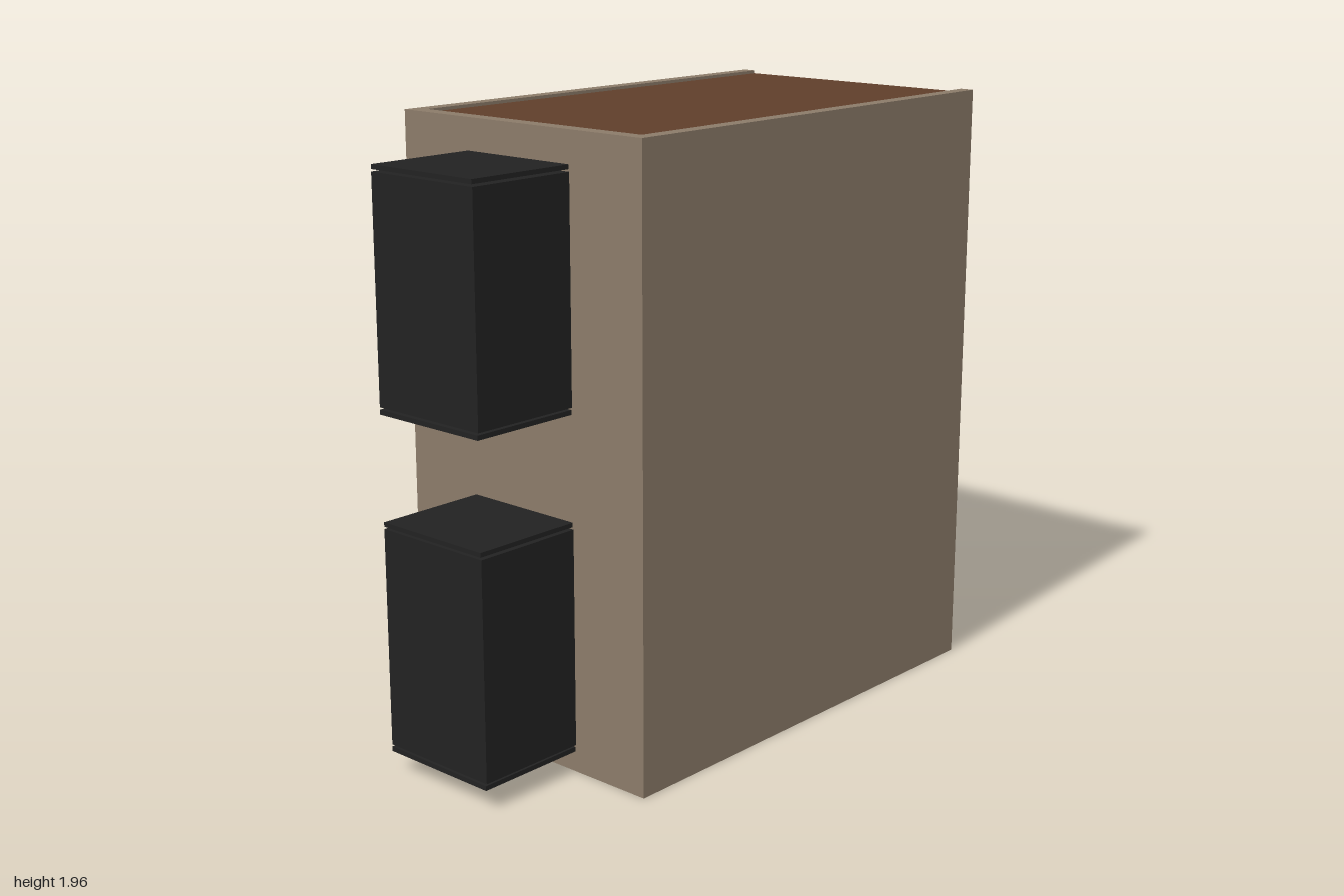
import * as THREE from 'three';

const mat = (name, color) => Object.assign(new THREE.MeshStandardMaterial({ color }), { name });

export function createModel() {
  const plaster = mat('plaster', 0x8b7b69);
  const wood = mat('wood', 0x5f3e2a);
  const railWood = mat('railWood', 0x70442a);
  const black = mat('black', 0x222222);
  const iron = mat('iron', 0x2f3538);
  const pale = mat('paleGlass', 0x9a9a92);

  const root = new THREE.Group();
  root.name = 'stairwell';
  const group = (name) => {
    const g = new THREE.Group();
    g.name = name;
    root.add(g);
    return g;
  };
  // Box given by its minimum and maximum on each axis
  const box = (name, m, x0, x1, y0, y1, z0, z1, parent = root) => {
    const mesh = new THREE.Mesh(new THREE.BoxGeometry(x1 - x0, y1 - y0, z1 - z0), m);
    mesh.position.set((x0 + x1) / 2, (y0 + y1) / 2, (z0 + z1) / 2);
    mesh.name = name;
    parent.add(mesh);
    return mesh;
  };
  // Square bar between two points in one x plane
  const bar = (name, m, x, a, b, w, h, parent) => {
    const dz = b[0] - a[0], dy = b[1] - a[1];
    const mesh = new THREE.Mesh(new THREE.BoxGeometry(w, h, Math.hypot(dz, dy)), m);
    mesh.position.set(x, (a[1] + b[1]) / 2, (a[0] + b[0]) / 2);
    mesh.rotation.x = -Math.atan2(dy, dz);
    mesh.name = name;
    parent.add(mesh);
  };

  const LOW = 0.08, MID = 0.615, HIGH = 1.14;
  const BACK = -0.965, INNER = 0.58, FRONT = 0.63;

  // Side walls with wainscot, rails and wall lamps
  for (const s of [-1, 1]) {
    const side = (name, m, a, b, y0, y1, z0, z1, parent) =>
      box(name, m, Math.min(s * a, s * b), Math.max(s * a, s * b), y0, y1, z0, z1, parent);
    side('sideWall', plaster, 0.44, 0.487, 0, 1.955, BACK, FRONT);
    side('wainscot', wood, 0.43, 0.44, MID, 0.95, BACK + 0.005, INNER);
    side('chairRail', plaster, 0.422, 0.44, 0.95, 0.968, BACK + 0.003, INNER);
    side('chairRailCap', plaster, 0.415, 0.44, 0.978, 0.995, BACK + 0.003, INNER);
    side('pictureRail', railWood, 0.42, 0.44, 1.797, 1.825, BACK + 0.003, INNER);
    const lamp = group('wallLamp');
    side('lampPlate', iron, 0.42, 0.44, 1.15, 1.35, -0.505, -0.425, lamp);
    for (const y of [1.2, 1.3])
      side('lampPane', pale, 0.413, 0.42, y - 0.032, y + 0.032, -0.49, -0.44, lamp);
  }

  // Front wall with two door openings
  const wall = new THREE.Shape([[-0.44, 0], [0.44, 0], [0.44, 1.955], [-0.44, 1.955]]
    .map((p) => new THREE.Vector2(...p)));
  for (const y of [LOW, HIGH]) {
    wall.holes.push(new THREE.Path([[-0.2, y], [-0.2, y + 0.69], [0.2, y + 0.69], [0.2, y]]
      .map((p) => new THREE.Vector2(...p))));
  }
  const frontWall = new THREE.Mesh(
    new THREE.ExtrudeGeometry(wall, { depth: FRONT - INNER, bevelEnabled: false }), plaster);
  frontWall.position.z = INNER;
  frontWall.name = 'frontWall';
  root.add(frontWall);

  // Dark boxes behind the doorways, and door frames inside
  for (const y of [LOW, HIGH]) {
    const g = group('doorRecess');
    box('recessTop', black, -0.21, 0.205, y + 0.702, y + 0.716, FRONT, 1, g);
    box('recessBottom', black, -0.21, 0.205, y - 0.015, y, FRONT, 1, g);
    box('recessBack', black, -0.21, 0.208, y + 0.007, y + 0.695, 0.988, 1, g);
    for (const x of [-0.21, 0.196])
      box('recessSide', black, x, x + 0.012, y + 0.007, y + 0.695, FRONT, 0.988, g);
    box('recessCeiling', black, -0.2, 0.2, y + 0.685, y + 0.695, FRONT, 0.988, g);
    for (const s of [-1, 1])
      box('doorJamb', wood, s * 0.215 - 0.015, s * 0.215 + 0.015, y, y + 0.72, 0.565, INNER, g);
    box('doorHead', wood, -0.2, 0.2, y + 0.69, y + 0.72, 0.565, INNER, g);
  }

  // Roof and ceiling beams
  box('roof', wood, -0.44, 0.44, 1.915, 1.945, BACK, INNER);
  for (let i = 0; i < 5; i++) {
    const z = -0.945 + i * 0.327;
    box('ceilingBeam', wood, -0.44, 0.44, 1.87, 1.915, z - 0.02, z + 0.02);
  }

  // Middle landing slab at the open back
  box('middleLanding', plaster, -0.44, 0.44, 0.55, MID, BACK, -0.64);
  box('landingEdge', plaster, -0.46, 0.46, 0.55, MID, -1, BACK);

  // Wooden landings at the two doors
  for (const y of [LOW, HIGH])
    box('doorLanding', wood, -0.355, 0.355, y - 0.035, y, 0.275, INNER);

  // One flight: treads, risers, iron stringers, railings on both sides
  const STEPS = 10, RUN = 0.0935, HALF = 0.335, RAIL = 0.33;
  const flight = (name, y0, y1, zStart, dir, railSteps) => {
    const g = group(name);
    const rise = (y1 - y0) / STEPS;
    const zAt = (t) => zStart + dir * RUN * t;
    for (let i = 0; i < STEPS; i++) {
      const top = y0 + rise * (i + 1);
      const za = zAt(i - 0.15), zb = zAt(i + 1);
      box('tread', wood, -HALF, HALF, top - 0.014, top, Math.min(za, zb), Math.max(za, zb), g);
      const r = zAt(i + 0.06);
      box('riser', railWood, -HALF, HALF, top - rise, top - 0.014, r - 0.005, r + 0.005, g);
    }
    for (const s of [-1, 1]) {
      const x = s * 0.342;
      bar('stringer', iron, x, [zAt(0), y0 + 0.005], [zAt(STEPS), y1 - 0.03], 0.014, 0.035, g);
      const xr = s * 0.32;
      bar('handrail', railWood, xr, [zAt(-0.1), y0 + RAIL],
        [zAt(railSteps), y0 + RAIL + rise * railSteps], 0.032, 0.022, g);
      for (let i = 0; i < railSteps; i++) {
        const z = zAt(i + 0.35), foot = y0 + rise * (i + 1);
        const head = y0 + RAIL + rise * (i + 0.35);
        const post = new THREE.Mesh(new THREE.CylinderGeometry(0.007, 0.007, head - foot, 8), iron);
        post.position.set(xr, (head + foot) / 2, z);
        post.name = 'baluster';
        g.add(post);
        box('balusterFoot', iron, xr - 0.012, xr + 0.012, foot, foot + 0.03, z - 0.012, z + 0.012, g);
      }
    }
  };
  flight('lowerFlight', LOW, MID, 0.285, -1, 5);
  flight('upperFlight', MID, HIGH, -0.65, 1, STEPS);

  return root;
}
